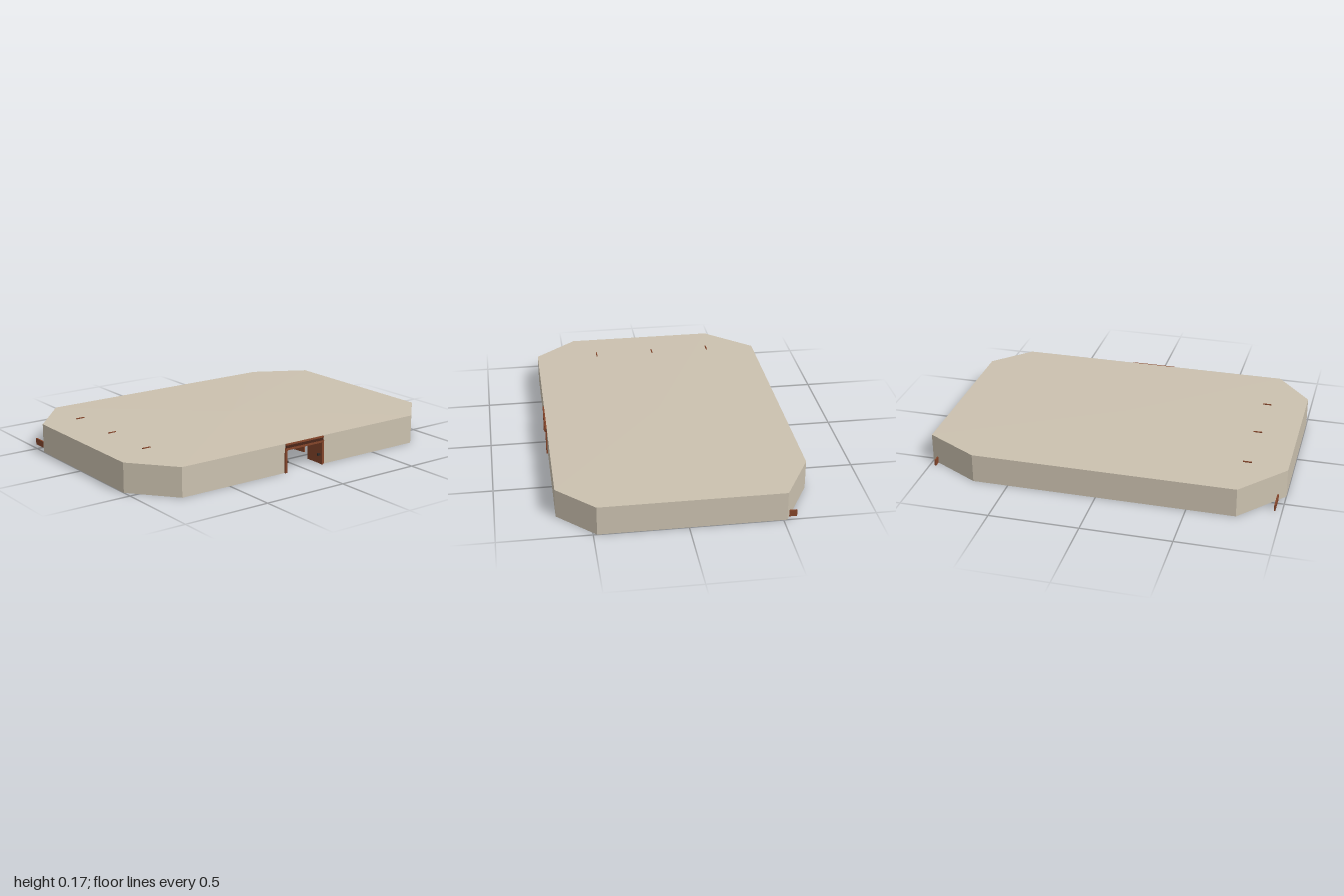
import * as THREE from 'three';

const mat = (name, color, side = THREE.FrontSide) => {
  const m = new THREE.MeshStandardMaterial({ color, side });
  m.name = name;
  return m;
};

export function createModel() {
  const plaster = mat('plaster', 0xcbc1af, THREE.DoubleSide);
  const wood = mat('wood', 0x84452a);
  const darkWood = mat('dark wood', 0x4a2518);
  const grey = mat('seat grey', 0xa9a9a4);
  const cushion = mat('cushion cream', 0xd8d0c0);
  const teal = mat('teal', 0x1f7478);
  const metal = mat('dark metal', 0x2e2a28);

  const model = new THREE.Group();
  model.name = 'hall';

  const group = (name, x = 0, z = 0, ry = 0) => {
    const g = new THREE.Group();
    g.name = name;
    g.position.set(x, 0, z);
    g.rotation.y = ry;
    model.add(g);
    return g;
  };
  // box centred on x and z, with its underside at y
  const box = (parent, name, m, w, h, d, x, y, z) => {
    const b = new THREE.Mesh(new THREE.BoxGeometry(w, h, d), m);
    b.name = name;
    b.position.set(x, y + h / 2, z);
    parent.add(b);
    return b;
  };
  const surface = (parent, name, points, index) => {
    const geo = new THREE.BufferGeometry();
    geo.setAttribute('position', new THREE.Float32BufferAttribute(points, 3));
    geo.setIndex(index);
    const flat = geo.toNonIndexed();
    flat.computeVertexNormals();
    const mesh = new THREE.Mesh(flat, plaster);
    mesh.name = name;
    parent.add(mesh);
  };

  // shell: eight walls, open underneath, with a doorway on the +x side
  const H = 0.164;
  const plan = [[-0.42, 1], [0.44, 1], [0.68, 0.8], [0.68, -0.8],
    [0.48, -1], [-0.52, -1], [-0.685, -0.7], [-0.685, 0.77]];
  const shell = group('shell');
  const wall = (a, b, y0 = 0) => surface(shell, 'wall',
    [a[0], y0, a[1], b[0], y0, b[1], b[0], H, b[1], a[0], H, a[1]],
    [0, 1, 2, 0, 2, 3]);
  plan.forEach((a, i) => {
    const b = plan[(i + 1) % 8];
    if (i !== 2) return wall(a, b);
    wall(a, [0.68, 0.13]);
    wall([0.68, 0.13], [0.68, -0.13], 0.15);
    wall([0.68, -0.13], b);
  });

  // roof rising slightly to its middle
  const roofPoints = [0.02, 0.174, 0];
  const roofIndex = [];
  plan.forEach(([x, z], i) => {
    roofPoints.push(x, H, z);
    roofIndex.push(0, i + 1, ((i + 1) % 8) + 1);
  });
  surface(shell, 'roof', roofPoints, roofIndex);

  // doorway with two leaves folded inwards
  const door = group('doorway', 0.68);
  for (const s of [-1, 1]) {
    box(door, 'jamb', wood, 0.016, 0.14, 0.014, 0, 0, s * 0.128);
    box(door, 'doorLeaf', wood, 0.11, 0.128, 0.008, -0.06, 0.002, s * 0.125);
    box(door, 'handle', metal, 0.012, 0.012, 0.016, -0.01, 0.05, s * 0.112);
  }
  box(door, 'lintel', wood, 0.016, 0.012, 0.27, 0, 0.127, 0);
  box(door, 'canopy', darkWood, 0.03, 0.016, 0.26, -0.008, 0.139, 0);
  box(door, 'canopyTrim', wood, 0.018, 0.008, 0.264, 0, 0.155, 0);

  // skirting boards with uprights along both end walls
  for (const z of [0.96, -0.967]) {
    const boards = group('skirting', 0, z);
    for (let i = 0; i < 4; i++) {
      const x = 0.315 - i * 0.258;
      box(boards, 'board', wood, 0.24, 0.036, 0.008, x, 0, 0);
      if (Math.abs(x) < 0.41) box(boards, 'upright', wood, 0.014, 0.126, 0.012, x, 0.036, 0);
    }
  }

  // ceiling beams carried by end posts
  for (const x of [0.31, -0.04, -0.39]) {
    const frame = group('beamFrame', x);
    box(frame, 'beam', wood, 0.014, 0.012, 1.6, 0, 0.15, 0);
    for (const z of [-0.795, 0.795]) box(frame, 'post', wood, 0.014, 0.15, 0.014, 0, 0, z);
    box(frame, 'beamEnd', wood, 0.006, 0.012, 0.05, 0, 0.159, 0.775);
  }

  // slim coat stands with a short arm
  const stand = (x, z) => {
    const g = group('coatStand', x, z);
    box(g, 'pole', metal, 0.007, 0.14, 0.007, 0, 0, 0);
    box(g, 'arm', metal, 0.03, 0.006, 0.006, -0.01, 0.132, 0);
    box(g, 'hook', metal, 0.008, 0.014, 0.008, -0.022, 0.12, 0);
  };
  for (const x of [0.43, 0.11, -0.2, -0.53]) stand(x, 0.69);
  for (const x of [0.18, -0.13, -0.44]) stand(x, -0.85);

  // long work tables, each with three chairs
  for (const [x, z] of [[0.31, -0.33], [-0.04, 0.33], [-0.39, -0.33]]) {
    const table = group('workTable', x, z);
    box(table, 'top', wood, 0.09, 0.008, 0.5, 0, 0.06, 0);
    box(table, 'backPanel', wood, 0.008, 0.06, 0.5, -0.041, 0, 0);
    for (const s of [-1, 1]) box(table, 'endPanel', wood, 0.09, 0.06, 0.008, 0, 0, s * 0.246);
    for (const cz of [-0.14, 0, 0.14]) {
      box(table, 'chairSeat', grey, 0.05, 0.01, 0.05, 0.05, 0.032, cz);
      box(table, 'chairBack', grey, 0.008, 0.045, 0.05, 0.074, 0.04, cz);
      box(table, 'chairLeg', metal, 0.01, 0.032, 0.01, 0.05, 0, cz);
      box(table, 'screen', metal, 0.008, 0.03, 0.05, -0.015, 0.072, cz);
    }
  }

  // reception counters by the doorway
  const counter = (x, z, ry, w) => {
    const g = group('counter', x, z, ry);
    box(g, 'front', wood, w, 0.065, 0.01, 0, 0, 0);
    box(g, 'top', wood, w, 0.008, 0.05, 0, 0.065, 0.02);
  };
  counter(0.4, 0.09, 0, 0.18);
  counter(0.38, -0.18, 0.15, 0.15);
  counter(0.27, -0.2, -0.75, 0.12);

  // benches with a padded back
  for (const [x, z] of [[0.57, 0.28], [0.47, 0.4], [0.54, -0.33], [0.52, -0.78], [-0.31, 0.62]]) {
    const g = group('bench', x, z);
    box(g, 'base', darkWood, 0.06, 0.03, 0.2, 0, 0, 0);
    box(g, 'cushion', cushion, 0.056, 0.014, 0.19, 0, 0.03, 0);
    box(g, 'back', darkWood, 0.012, 0.05, 0.2, -0.03, 0.03, 0);
  }

  // framed display near the far wall
  const display = group('display', -0.63, 0.52);
  box(display, 'panel', teal, 0.012, 0.13, 0.4, 0, 0.025, 0);
  box(display, 'screen', darkWood, 0.006, 0.08, 0.29, 0.009, 0.05, 0);

  return model;
}
